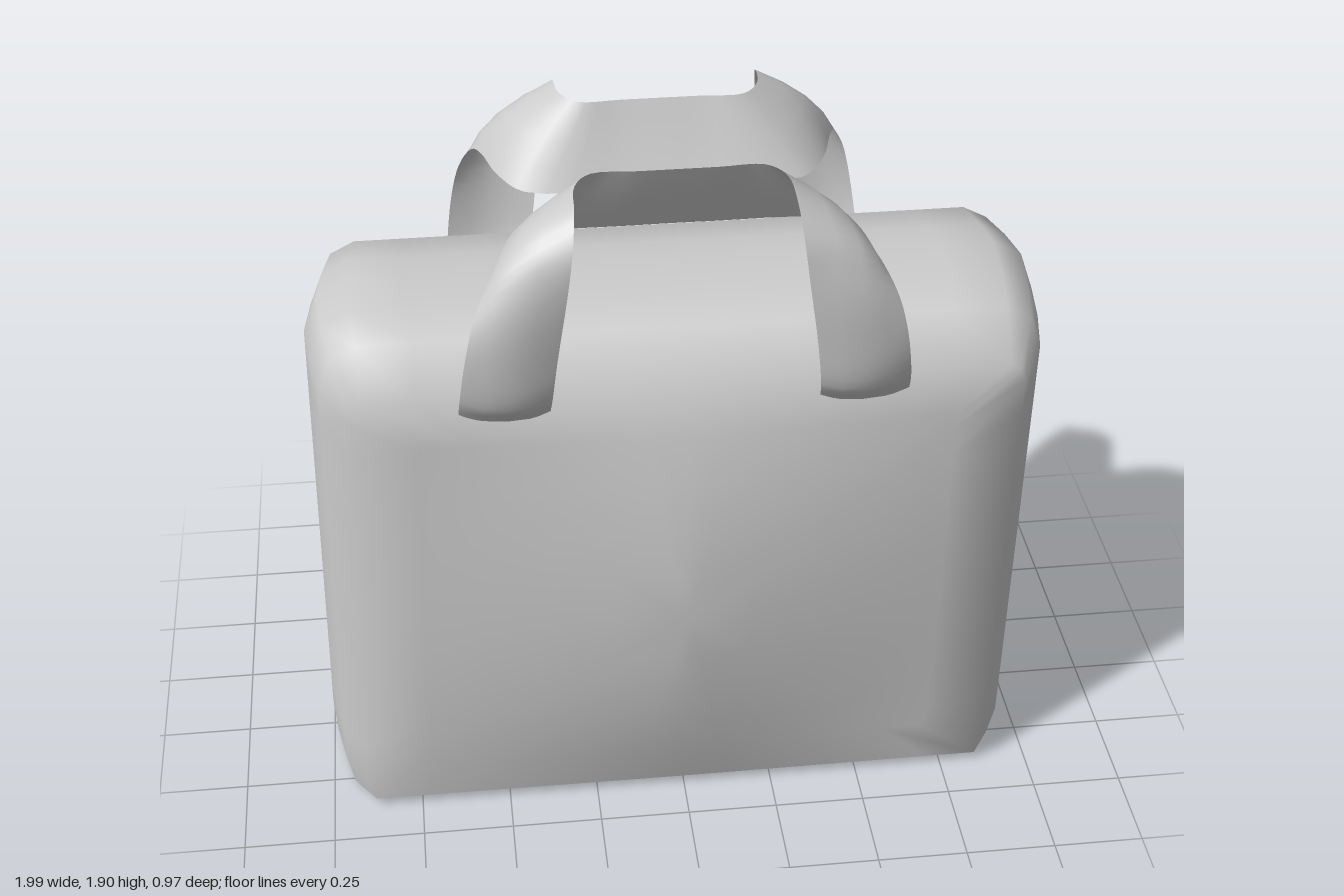
import * as THREE from 'three';
import { toCreasedNormals } from 'three/addons/utils/BufferGeometryUtils.js';

const material = new THREE.MeshStandardMaterial({ color: 0xcccccc, side: THREE.DoubleSide });

// Rows of points joined into a surface
function skin(rows, closed) {
  const n = rows[0].length, positions = rows.flat().flatMap((p) => p.toArray()), index = [];
  for (let i = 0; i < rows.length - 1; i++) {
    for (let j = 0; j < (closed ? n : n - 1); j++) {
      const k = (j + 1) % n;
      const a = i * n + j, b = i * n + k, c = a + n, d = b + n;
      index.push(a, c, d, a, d, b);
    }
  }
  const g = new THREE.BufferGeometry();
  g.setAttribute('position', new THREE.Float32BufferAttribute(positions, 3));
  g.setIndex(index);
  return g;
}

// Upright outline with bevelled top corners and tighter bottom corners
function outline(w, bottom, top, c) {
  const half = [
    [w - 0.02, bottom], [w, bottom + 0.09], [w, top - 1.25 * c],
    [w - 0.33 * c, top - 0.35 * c], [w - c, top],
  ];
  const corners = [...half, ...half.map(([x, y]) => [-x, y]).reverse()];
  const points = [];
  corners.forEach(([x, y], i) => {
    const [x2, y2] = corners[(i + 1) % corners.length];
    const steps = Math.hypot(x2 - x, y2 - y) > 0.5 ? 12 : 1;
    for (let s = 0; s < steps; s++) {
      points.push([x + ((x2 - x) * s) / steps, y + ((y2 - y) * s) / steps]);
    }
  });
  return points;
}

// Bag body: bulging front and back panels around a rounded gusset
function makeBody() {
  const MID = 0.69;
  const lean = (x, y, z) => new THREE.Vector3(x + 0.025 * (y / 1.4) - 0.015, y, z);
  const rim = outline(0.885, 0.025, 1.365, 0.04);
  const panel = (side) => [0, 0.2, 0.4, 0.6, 0.8, 1].map((s) => rim.map(([px, py]) => {
    const x = px * s, y = MID + (py - MID) * s;
    const u = Math.min(1, Math.abs(x) / 0.885), v = Math.min(1, Math.abs(y - MID) / 0.675);
    return lean(x, y, side * (0.37 + 0.115 * (1 - u ** 1.2) * (1 - v * v)));
  }));
  // depth, half width, bottom, top, corner bevel
  const gusset = [
    [0.27, 0.945, 0.008, 1.48, 0.1],
    [0.135, 0.97, 0.004, 1.502, 0.11],
    [0, 0.985, 0, 1.52, 0.12],
    [-0.135, 0.97, 0.004, 1.502, 0.11],
    [-0.27, 0.945, 0.008, 1.48, 0.1],
  ].map(([z, w, b, t, c]) => outline(w, b, t, c).map(([x, y]) => lean(x, y, z)));
  const rows = [...panel(1), ...gusset, ...panel(-1).reverse()];
  const mesh = new THREE.Mesh(toCreasedNormals(skin(rows, true), 1.1), material);
  mesh.name = 'bagBody';
  return mesh;
}

// Handle strap: inner edge, middle and outer edge from the sewn end to the grip
const INNER = [[0.35, 1.31, 0.375], [0.345, 1.37, 0.41], [0.33, 1.5, 0.43], [0.3, 1.7, 0.44],
  [0.285, 1.81, 0.43], [0.275, 1.885, 0.37], [0.265, 1.9, 0.26], [0.22, 1.9, 0.2], [0.1, 1.9, 0.2]];
const MIDDLE = [[0.46, 1.302, 0.39], [0.46, 1.36, 0.43], [0.45, 1.5, 0.452], [0.435, 1.67, 0.45],
  [0.43, 1.765, 0.41], [0.405, 1.815, 0.335], [0.37, 1.815, 0.23], [0.29, 1.805, 0.16], [0.1, 1.8, 0.155]];
const OUTER = [[0.585, 1.31, 0.37], [0.58, 1.38, 0.405], [0.56, 1.52, 0.43], [0.535, 1.62, 0.415],
  [0.5, 1.69, 0.37], [0.475, 1.71, 0.3], [0.44, 1.705, 0.19], [0.37, 1.69, 0.11], [0.1, 1.69, 0.1]];

function makeHandle(side) {
  const [inner, middle, outer] = [INNER, MIDDLE, OUTER].map((half) => {
    const mirrored = half.map(([x, y, z]) => [-x, y, z]).reverse();
    const path = [...half, ...mirrored].map(([x, y, z]) => new THREE.Vector3(x, y, z * side));
    return new THREE.CatmullRomCurve3(path);
  });
  const rows = [];
  for (let i = 0; i <= 68; i++) {
    const [a, m, b] = [inner, middle, outer].map((curve) => curve.getPoint(i / 68));
    // bend each cross-section through its three points
    rows.push([0, 0.25, 0.5, 0.75, 1].map((t) => new THREE.Vector3()
      .addScaledVector(a, (1 - t) * (1 - 2 * t))
      .addScaledVector(m, 4 * t * (1 - t))
      .addScaledVector(b, t * (2 * t - 1))));
  }
  if (side < 0) rows.reverse();
  const g = skin(rows, false);
  g.computeVertexNormals();
  const mesh = new THREE.Mesh(g, material);
  mesh.name = side > 0 ? 'frontHandle' : 'backHandle';
  return mesh;
}

export function createModel() {
  const bag = new THREE.Group();
  bag.name = 'handbag';
  bag.add(makeBody(), makeHandle(1), makeHandle(-1));
  return bag;
}
